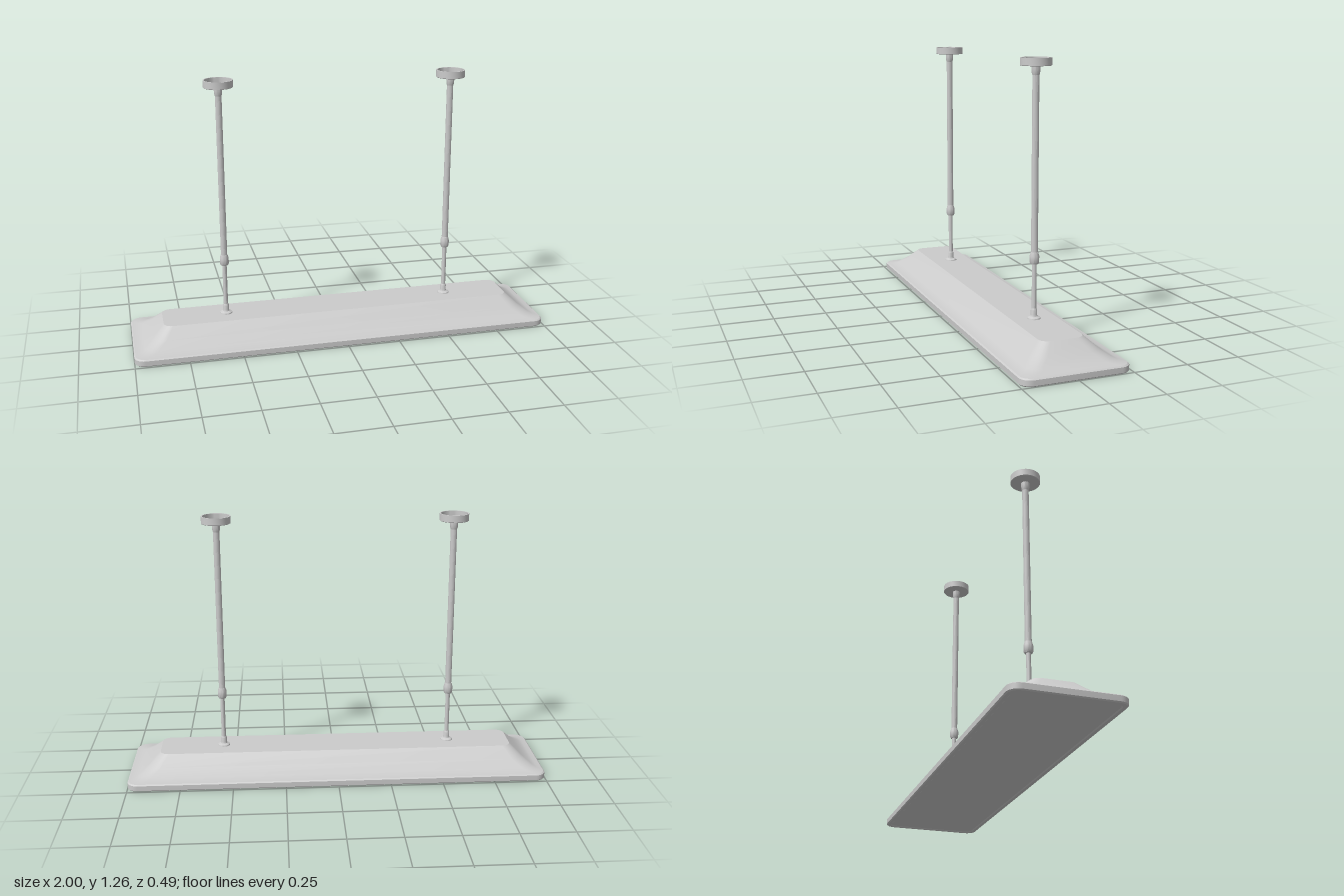
import * as THREE from 'three';
import { toCreasedNormals } from 'three/addons/utils/BufferGeometryUtils.js';

const material = new THREE.MeshStandardMaterial({ color: 0xcccccc });

function addMesh(parent, name, geometry, crease = 0.5) {
  const mesh = new THREE.Mesh(toCreasedNormals(geometry, crease), material);
  mesh.name = name;
  parent.add(mesh);
  return mesh;
}

// Points of a rounded rectangle with half sizes hx, hz and corner radius r
function roundedRing(hx, hz, r, y, steps = 6) {
  const ring = [];
  [[1, 1], [-1, 1], [-1, -1], [1, -1]].forEach(([sx, sz], corner) => {
    for (let i = 0; i <= steps; i++) {
      const a = (corner + i / steps) * Math.PI / 2;
      ring.push([sx * (hx - r) + r * Math.cos(a), y, sz * (hz - r) + r * Math.sin(a)]);
    }
  });
  return ring;
}

// Skin through stacked rings, closed at both ends
function loft(levels) {
  const rings = levels.map((l) => roundedRing(...l));
  const n = rings[0].length;
  const positions = rings.flat(2);
  const index = [];
  for (let k = 0; k < rings.length - 1; k++) {
    for (let i = 0; i < n; i++) {
      const j = (i + 1) % n;
      const a = k * n + i, b = k * n + j, c = a + n, d = b + n;
      index.push(a, c, b, b, c, d);
    }
  }
  const bottom = rings.length * n;
  const top = bottom + 1;
  positions.push(0, levels[0][3], 0, 0, levels[levels.length - 1][3], 0);
  const last = (rings.length - 1) * n;
  for (let i = 0; i < n; i++) {
    const j = (i + 1) % n;
    index.push(bottom, i, j, top, last + j, last + i);
  }
  const geometry = new THREE.BufferGeometry();
  geometry.setAttribute('position', new THREE.Float32BufferAttribute(positions, 3));
  geometry.setIndex(index);
  geometry.computeVertexNormals();
  return geometry;
}

// Turned part from [radius, height] pairs
function turned(profile, segments = 32) {
  return new THREE.LatheGeometry(profile.map(([r, y]) => new THREE.Vector2(r, y)), segments);
}

function createHanger() {
  const hanger = new THREE.Group();
  addMesh(hanger, 'baseFlange', turned([
    [0.03, 0.123], [0.028, 0.13], [0.016, 0.136], [0.014, 0.142],
    [0.014, 0.165], [0.011, 0.172], [0, 0.172]]));
  addMesh(hanger, 'lowerRod', turned([[0.0105, 0.13], [0.0105, 0.39]], 20));
  addMesh(hanger, 'collar', turned([
    [0, 0.371], [0.017, 0.371], [0.021, 0.379], [0.021, 0.406],
    [0.016, 0.424], [0, 0.424]]));
  addMesh(hanger, 'upperRod', turned([[0.015, 0.41], [0.015, 1.226]], 20));
  addMesh(hanger, 'topSocket', turned([
    [0.015, 1.185], [0.0175, 1.193], [0.019, 1.21], [0.019, 1.228]]));
  // Ceiling cup, open at the top
  addMesh(hanger, 'ceilingCup', turned([
    [0, 1.225], [0.066, 1.225], [0.068, 1.227], [0.068, 1.259],
    [0.062, 1.259], [0.062, 1.231], [0, 1.231]], 40));
  return hanger;
}

export function createModel() {
  const model = new THREE.Group();
  model.name = 'pendantLamp';

  // Shade: rounded rim, then a slightly concave slope up to the flat top
  addMesh(model, 'shade', loft([
    [0.975, 0.22, 0.035, 0.004],
    [0.979, 0.224, 0.037, 0],
    [0.995, 0.24, 0.045, 0],
    [1, 0.245, 0.05, 0.005],
    [1, 0.245, 0.05, 0.029],
    [0.994, 0.239, 0.046, 0.034],
    [0.97, 0.215, 0.05, 0.037],
    [0.948, 0.193, 0.055, 0.046],
    [0.905, 0.152, 0.055, 0.077],
    [0.853, 0.1, 0.04, 0.125]]), 0.45);

  // Two telescopic hangers
  for (const [name, x] of [['leftHanger', 0.55], ['rightHanger', -0.55]]) {
    const hanger = createHanger();
    hanger.name = name;
    hanger.position.x = x;
    model.add(hanger);
  }
  return model;
}
